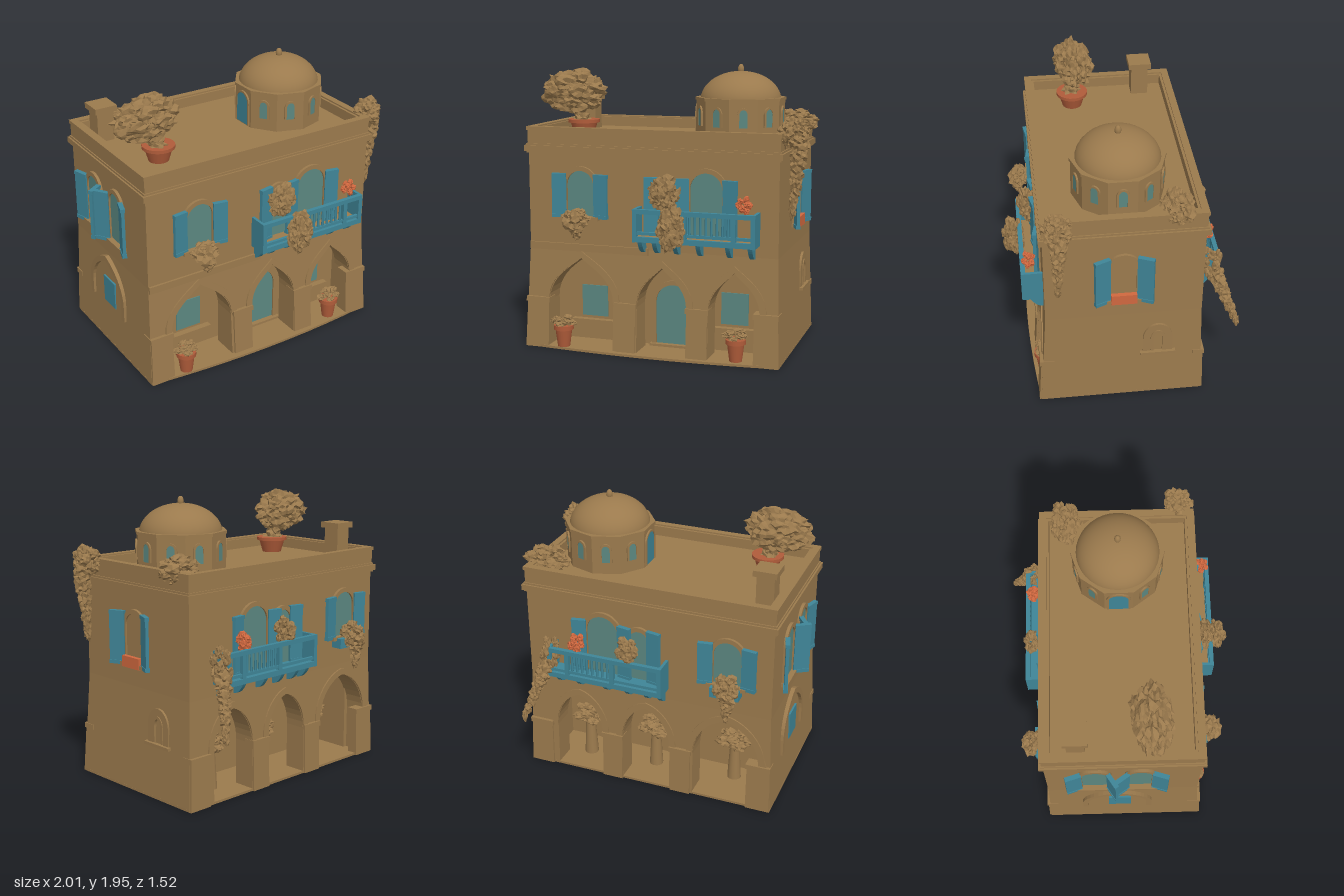
import * as THREE from 'three';

const mat = (name, color) => Object.assign(new THREE.MeshStandardMaterial({ color }), { name });
const HW = 0.875, HD = 0.52, FLOOR = 0.72, ROOF = 1.45;

let seed = 7;
const rnd = () => (seed = (seed * 16807) % 2147483647) / 2147483647;

export function createModel() {
  const stone = mat('stone', 0x9b7a4d), teal = mat('tealPaint', 0x3f8597), glass = mat('glass', 0x5b8780);
  const clay = mat('terracotta', 0xb05c3a), orange = mat('brightOrange', 0xd0683f);
  const root = new THREE.Group(), house = new THREE.Group();
  root.name = 'townHouse';
  house.name = 'house';
  house.rotation.y = -0.07;
  house.position.set(-0.02, 0, -0.01);
  root.add(house);

  const add = (parent, name, geo, m, x = 0, y = 0, z = 0) => {
    const mesh = new THREE.Mesh(geo, m);
    mesh.name = name;
    mesh.position.set(x, y, z);
    parent.add(mesh);
    return mesh;
  };
  const box = (parent, name, m, w, h, d, x, y, z) =>
    add(parent, name, new THREE.BoxGeometry(w, h, d), m, x, y, z);
  const group = (parent, name, x = 0, y = 0, z = 0, ry = 0) => {
    const g = new THREE.Group();
    g.name = name;
    g.position.set(x, y, z);
    g.rotation.y = ry;
    parent.add(g);
    return g;
  };
  // walls of the ground storey lean outwards towards the base
  const batter = (geo, lean = 0) => {
    const p = geo.attributes.position;
    for (let i = 0; i < p.count; i++) {
      const f = Math.max(0, 1 - p.getY(i) / FLOOR), x = p.getX(i), z = p.getZ(i);
      if (Math.abs(x) > 0.85) p.setX(i, x + Math.sign(x) * 0.025 * f);
      if (z > 0.5) p.setZ(i, z + lean * f);
    }
    geo.computeVertexNormals();
    return geo;
  };
  const placedBox = (w, h, d, x, y, z) => new THREE.BoxGeometry(w, h, d).translate(x, y, z);

  // arch outline; p makes the crown pointed
  const arch = (Type, x, w, y0, ys, top, p = 0) => {
    const s = new Type(), a = w / 2, c = w * 0.28 * (1 - 0.5 * p), k = ys + (top - ys) * 0.55, t = top - 0.06 * p;
    s.moveTo(x - a, y0);
    s.lineTo(x + a, y0);
    s.lineTo(x + a, ys);
    s.bezierCurveTo(x + a, k, x + c, t, x, top);
    s.bezierCurveTo(x - c, t, x - a, k, x - a, ys);
    s.lineTo(x - a, y0);
    return s;
  };
  const extrude = (shape, depth, z) =>
    new THREE.ExtrudeGeometry(shape, { depth, bevelEnabled: false, curveSegments: 10 }).translate(0, 0, z);
  // arch band, open at the bottom
  const archRing = (x, w, y0, ys, top, t, p, depth, z) => {
    const outer = arch(THREE.Path, x, w + 2 * t, y0, ys, top + t, p).getPoints(10).slice(1);
    const inner = arch(THREE.Path, x, w, y0, ys, top, p).getPoints(10).slice(1);
    return extrude(new THREE.Shape([...outer, ...inner.reverse()]), depth, z);
  };
  const archedWindow = (g, x, w, y0, top, z, pane = glass) => {
    const ys = top - w * 0.5;
    add(g, 'windowPane', extrude(arch(THREE.Shape, x, w, y0, ys, top), 0.008, z), pane);
    add(g, 'windowFrame', archRing(x, w, y0, ys, top, 0.03, 0, 0.025, z - 0.005), stone);
    box(g, 'windowSill', stone, w + 0.08, 0.025, 0.05, x, y0 - 0.01, z + 0.02);
  };
  // shutter hinged at x, opening towards side d
  const shutter = (g, x, d, y0, y1, z, angle = 0.15, w = 0.1) => {
    const h = group(g, 'shutter', x, (y0 + y1) / 2, z + 0.018, -d * angle);
    box(h, 'shutterLeaf', teal, w, y1 - y0, 0.022, d * w / 2, 0, 0);
    for (const e of [-1, 1]) box(h, 'shutterRail', teal, w, 0.025, 0.032, d * w / 2, e * (y1 - y0 - 0.025) / 2, 0);
  };

  // core, side walls, upper storey, base
  const recess = { front: 0.33, back: -0.14 };
  box(house, 'core', stone, 1.7, FLOOR, recess.front - recess.back, 0, FLOOR / 2, (recess.front + recess.back) / 2);
  for (const s of [-1, 1])
    add(house, 'sideWall', batter(placedBox(0.1, FLOOR, 0.78, s * (HW - 0.05), FLOOR / 2, 0)), stone);
  box(house, 'upperStorey', stone, 2 * HW, ROOF - FLOOR, 2 * HD, 0, (ROOF + FLOOR) / 2, 0);
  const base = new THREE.Shape();
  base.moveTo(-0.9, -0.57);
  base.quadraticCurveTo(0, -0.68, 0.9, -0.57);
  base.lineTo(0.9, 0.54);
  base.lineTo(-0.9, 0.54);
  add(house, 'baseSlab', extrude(base, 0.016, 0).rotateX(-Math.PI / 2), stone);

  // cornice and parapet rings
  const rectRing = (name, hw, hd, t, y, h) => {
    const trace = (q, a, b) => {
      q.moveTo(-a, -b); q.lineTo(a, -b); q.lineTo(a, b); q.lineTo(-a, b); q.closePath();
      return q;
    };
    const s = trace(new THREE.Shape(), hw, hd);
    s.holes.push(trace(new THREE.Path(), hw - t, hd - t));
    add(house, name, extrude(s, h, 0).rotateX(-Math.PI / 2), stone, 0, y, 0);
  };
  rectRing('corniceLip', 0.888, 0.533, 0.05, 1.35, 0.065);
  rectRing('cornice', 0.9, 0.545, 0.06, 1.362, 0.04);
  rectRing('parapet', 0.88, 0.525, 0.06, 1.405, 0.115);
  rectRing('parapetCoping', 0.887, 0.532, 0.05, 1.505, 0.025);

  // front and back: arcade, windows and balcony; s mirrors x for the back
  const facade = (name, s, off, lean, point, floorMat, ry) => {
    const g = group(house, name, 0, 0, 0, ry), X = (x) => s * (x + off), thick = 0.14;
    const arches = [[-0.55, 0.47, 0.64], [0.03, 0.35, 0.61], [0.53, 0.35, 0.61]];
    const wall = new THREE.Shape();
    wall.moveTo(-HW, 0); wall.lineTo(HW, 0); wall.lineTo(HW, FLOOR); wall.lineTo(-HW, FLOOR);
    for (const [x, w, h] of arches) wall.holes.push(arch(THREE.Path, X(x), w, 0.012, 0.33, h, point));
    add(g, 'arcadeWall', batter(extrude(wall, thick, HD - thick), lean), stone);
    for (const [x, w, h] of arches)
      add(g, 'archMoulding', batter(archRing(X(x), w, 0.34, 0.35, h, 0.045, point, 0.025, 0.505), lean), stone);
    for (const x of [-0.8, X(-0.225), X(0.28), 0.8]) {
      add(g, 'pier', batter(placedBox(0.145, 0.32, 0.06, x, 0.16, 0.503), lean), stone);
      add(g, 'pierCap', batter(placedBox(0.16, 0.035, 0.07, x, 0.335, 0.507), lean), stone);
    }

    // upper windows
    archedWindow(g, X(-0.55), 0.19, 0.93, 1.24, HD);
    for (const d of [-1, 1]) shutter(g, X(-0.55 + d * 0.1), s * d, 0.92, 1.22, HD);
    archedWindow(g, X(0.335), 0.22, 0.83, 1.26, HD);
    archedWindow(g, X(0.07), 0.13, 0.83, 1.2, HD);
    for (const [x, d] of [[0.01, -1], [0.22, -1], [0.45, 1]]) shutter(g, X(x), s * d, 0.83, 1.22, HD, 0.2);

    // balcony
    const b = group(g, 'balcony', X(0.28), 0, HD), D = 0.14, W = 0.83;
    box(b, 'balconyFloor', floorMat, W - 0.02, 0.034, D - 0.02, 0, 0.82, D / 2 - 0.01);
    box(b, 'balconyFascia', teal, W, 0.036, 0.022, 0, 0.82, D - 0.011);
    box(b, 'handrail', teal, W, 0.03, 0.03, 0, 1.005, D - 0.015);
    box(b, 'lowerRail', teal, W, 0.02, 0.02, 0, 0.86, D - 0.015);
    for (const e of [-1, 1]) box(b, 'endPanel', teal, 0.02, 0.22, D, e * (W / 2 - 0.01), 0.91, D / 2);
    for (const x of [-0.4, -0.06, 0.27, 0.4]) box(b, 'railPost', teal, 0.03, 0.2, 0.03, s * x, 0.92, D - 0.015);
    for (let i = 0; i < 8; i++)
      add(b, 'baluster', new THREE.CylinderGeometry(0.007, 0.01, 0.15, 6), teal, s * (-0.025 + i * 0.037), 0.925, D - 0.015);
    for (const x of [-0.38, -0.28, -0.14, 0.02, 0.22, 0.37]) {
      const k = new THREE.Shape();
      k.moveTo(0, 0.81); k.lineTo(0, 0.71);
      k.quadraticCurveTo(0.06, 0.71, 0.1, 0.81);
      add(b, 'bracket', extrude(k, 0.03, -0.015).rotateY(-Math.PI / 2), teal, s * x, 0, 0);
    }
    return g;
  };
  const front = facade('frontFacade', 1, 0.057, 0.05, 1, stone, 0);
  const back = facade('backFacade', -1, -0.02, 0.02, 0.3, teal, Math.PI);
  box(front, 'stringCourse', stone, 0.86, 0.05, 0.03, -0.443, 0.71, HD);
  box(back, 'windowBox', teal, 0.2, 0.07, 0.08, 0.57, 0.89, HD + 0.04);

  // porch door and windows
  const zr = recess.front;
  archedWindow(front, 0.107, 0.25, 0.03, 0.45, zr);
  for (const [x, y] of [[-0.475, 0.295], [0.54, 0.315]]) {
    box(front, 'porchWindow', glass, 0.19, 0.22, 0.008, x, y, zr + 0.004);
    box(front, 'porchSill', stone, 0.32, 0.02, 0.05, x, y - 0.14, zr + 0.02);
  }

  // right side
  const right = group(house, 'rightSide', HW, 0, 0, Math.PI / 2);
  archedWindow(right, -0.005, 0.16, 0.88, 1.21, 0, stone);
  for (const d of [-1, 1]) shutter(right, -0.005 + d * 0.09, d, 0.86, 1.22, 0, 0.4, 0.11);
  box(right, 'flowerBox', orange, 0.17, 0.075, 0.03, -0.005, 0.89, 0.035);
  add(right, 'nicheFrame', archRing(0.23, 0.1, 0.38, 0.5, 0.57, 0.05, 0, 0.02, 0), stone);
  add(right, 'smallNiche', archRing(0.23, 0.06, 0.39, 0.5, 0.55, 0.02, 0, 0.022, 0.004), stone);
  box(right, 'nicheSill', stone, 0.24, 0.02, 0.04, 0.23, 0.375, 0.02);

  // left side
  const left = group(house, 'leftSide', -HW, 0, 0, -Math.PI / 2);
  archedWindow(left, -0.19, 0.17, 0.88, 1.24, 0);
  archedWindow(left, 0.12, 0.15, 0.88, 1.24, 0);
  for (const [x, d, a] of [[-0.28, -1, 0.3], [-0.1, 1, 1], [0.04, -1, 0.6], [0.2, 1, 0.3]])
    shutter(left, x, d, 0.86, 1.22, 0, a, 0.11);
  add(left, 'blindArch', archRing(-0.04, 0.42, 0.3, 0.42, 0.66, 0.04, 0.5, 0.03, 0), stone);
  box(left, 'lowWindow', teal, 0.16, 0.2, 0.03, -0.02, 0.42, 0.005);

  // drum, dome and finial
  const tower = group(house, 'domeTower', 0.48, 0, 0);
  const drum = (name, r, h, y) => {
    const geo = new THREE.CylinderGeometry(r, r, h, 10).toNonIndexed();
    geo.computeVertexNormals();
    add(tower, name, geo, stone, 0, y, 0);
  };
  drum('drum', 0.305, 0.3, 1.56);
  drum('drumRim', 0.312, 0.02, 1.715);
  add(tower, 'dome', new THREE.SphereGeometry(0.278, 36, 14, 0, Math.PI * 2, 0, Math.PI / 2).scale(1, 0.72, 1), stone, 0, 1.7, 0);
  add(tower, 'finial', new THREE.SphereGeometry(0.022, 12, 8).scale(1, 1.6, 1), stone, 0, 1.912, 0);
  for (let k = 0; k < 10; k++) {
    const a = Math.PI * (0.1 + 0.2 * k), door = k === 7, r = 0.305 * Math.cos(Math.PI / 10);
    const g = group(tower, door ? 'drumDoor' : 'drumWindow', Math.sin(a) * r, 0, Math.cos(a) * r, a);
    const w = door ? 0.13 : 0.055, y0 = door ? 1.46 : 1.535, top = door ? 1.68 : 1.655;
    add(g, 'drumPane', extrude(arch(THREE.Shape, 0, w, y0, 1.62, top), 0.008, 0), door ? teal : glass);
    add(g, 'drumFrame', archRing(0, w, y0, 1.62, top, 0.014, 0, 0.014, -0.002), stone);
  }

  // chimney
  box(house, 'chimney', stone, 0.12, 0.22, 0.12, -0.75, 1.55, -0.3);
  box(house, 'chimneyCap', stone, 0.16, 0.04, 0.16, -0.75, 1.68, -0.3);

  // ragged foliage clump
  const clump = (parent, x, y, z, rx, ry, rz, m = stone) => {
    const geo = new THREE.IcosahedronGeometry(1, 2), p = geo.attributes.position, k = rnd() * 50;
    for (let i = 0; i < p.count; i++) {
      const n = Math.sin(Math.round(p.getX(i) * 99) * 12.99 + Math.round(p.getY(i) * 99) * 78.23 + Math.round(p.getZ(i) * 99) * 37.7 + k) * 43758.5;
      const f = 0.65 + 0.65 * (n - Math.floor(n));
      p.setXYZ(i, p.getX(i) * f * rx, p.getY(i) * f * ry, p.getZ(i) * f * rz);
    }
    geo.computeVertexNormals();
    add(parent, 'leaves', geo, m, x, y, z);
  };
  const bush = (name, x, y, z, rx, ry, rz, n, m) => {
    const g = group(root, name, x, y, z);
    for (let i = 0; i < n; i++) {
      const a = i * 2.4, h = 1 - 2 * (i + 0.5) / n, q = Math.sqrt(1 - h * h) * 0.68, s = 0.3 + 0.12 * rnd();
      clump(g, Math.cos(a) * q * rx, h * 0.68 * ry, Math.sin(a) * q * rz, s * rx, s * ry, s * rz, m);
    }
  };
  const vine = (name, a, b, r, n) => {
    const g = group(root, name);
    for (let i = 0; i < n; i++) {
      const t = i / (n - 1), q = r * (1 - 0.65 * t), L = (k) => a[k] + (b[k] - a[k]) * t;
      clump(g, L(0), L(1), L(2), q, Math.max(q, Math.abs(b[1] - a[1]) / n), q);
    }
  };
  const pot = (x, y, z, r, h) => {
    add(root, 'pot', new THREE.CylinderGeometry(r, r * 0.68, h, 20), clay, x, y + h / 2, z);
    add(root, 'potRim', new THREE.CylinderGeometry(r * 1.1, r * 1.1, h * 0.2, 20), clay, x, y + h * 0.9, z);
  };

  // rooftop tree
  pot(-0.63, ROOF, 0.15, 0.1, 0.11);
  vine('treeTrunk', [-0.64, 1.55, 0.15], [-0.69, 1.7, 0.14], 0.06, 4);
  bush('treeCrown', -0.705, 1.75, 0.13, 0.225, 0.15, 0.13, 26);

  // pots by the arcade
  for (const [x, z] of [[-0.68, 0.5], [0.54, 0.56]]) {
    pot(x, 0.016, z, 0.062, 0.15);
    bush('potPlant', x, 0.19, z, 0.09, 0.05, 0.07, 8);
  }

  // trailing plants at the roof corners
  bush('cornerPlant', 0.89, 1.52, 0.48, 0.1, 0.1, 0.1, 14);
  vine('cornerVine', [0.93, 1.46, 0.48], [0.89, 1.02, 0.49], 0.06, 8);
  bush('rearCornerPlant', 0.8, 1.53, -0.3, 0.16, 0.1, 0.11, 14);

  // window and balcony plants
  bush('sillPlant', -0.56, 0.93, 0.56, 0.1, 0.065, 0.07, 10);
  vine('sillVine', [-0.56, 0.91, 0.58], [-0.55, 0.81, 0.58], 0.07, 4);
  bush('balconyPlant', 0.06, 1.12, 0.58, 0.11, 0.12, 0.07, 14);
  bush('balconyDrape', 0.13, 0.91, 0.69, 0.1, 0.15, 0.075, 16);
  bush('balconyFlowers', 0.6, 1.075, 0.64, 0.055, 0.06, 0.05, 9, orange);
  bush('rearSillPlant', -0.56, 0.95, -0.66, 0.09, 0.1, 0.08, 10);
  vine('rearSillVine', [-0.58, 0.9, -0.68], [-0.57, 0.74, -0.68], 0.06, 4);
  bush('rearBalconyPlant', 0.13, 1.08, -0.61, 0.08, 0.1, 0.06, 10);
  bush('rearFlowers', 0.5, 1.06, -0.57, 0.055, 0.07, 0.06, 9, orange);
  bush('rearEdgePlant', 0.7, 0.95, -0.56, 0.07, 0.13, 0.08, 10);
  vine('rearHangingLeaf', [0.72, 0.86, -0.6], [0.84, 0.52, -0.73], 0.055, 8);

  // plants on pedestals in the rear loggia
  for (const x of [-0.55, 0.03, 0.53]) {
    add(root, 'pedestal', new THREE.CylinderGeometry(0.035, 0.05, 0.26, 12), stone, x, 0.14, -0.3);
    bush('loggiaPlant', x, 0.33, -0.3, 0.13, 0.08, 0.09, 9);
  }
  return root;
}
